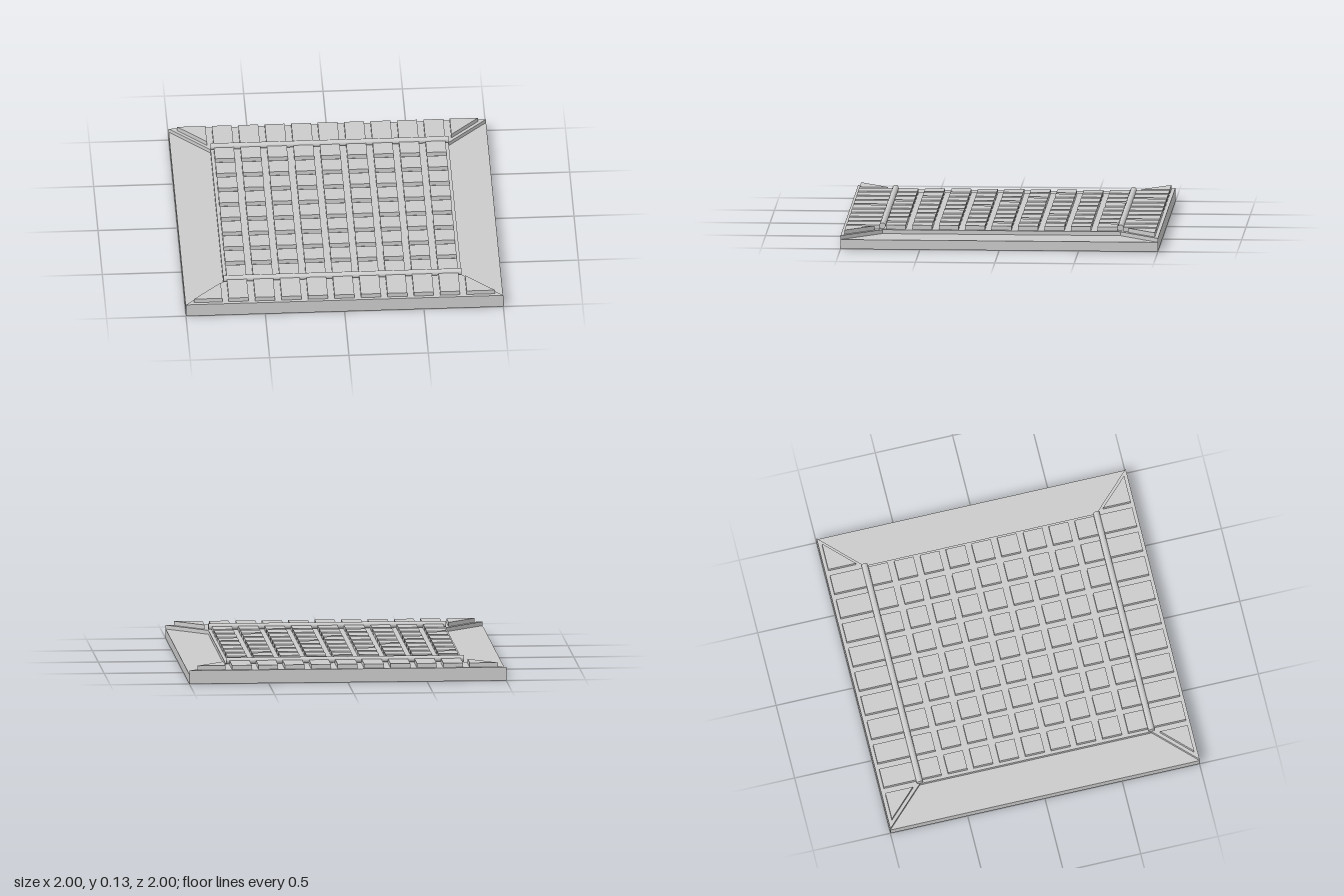
import * as THREE from 'three';

const DECK_Y = 0.085, APRON_Y = 0.06, TILE_Y = 0.112;
const PITCH = 1 / 6, TILE = 0.125, COUNT = 9;
const INNER = 0.75;

export function createModel() {
  const group = new THREE.Group();
  const material = new THREE.MeshStandardMaterial({ color: 0xcccccc, flatShading: true });
  const smooth = new THREE.MeshStandardMaterial({ color: 0xcccccc });

  const add = (name, geometry, mat = material) => {
    const mesh = new THREE.Mesh(geometry, mat);
    mesh.name = name;
    group.add(mesh);
    return mesh;
  };

  // Upright prism over a plan outline given as [x, z] corners
  const prism = (name, corners, y0, y1) => {
    const shape = new THREE.Shape(corners.map(([x, z]) => new THREE.Vector2(x, -z)));
    const geometry = new THREE.ExtrudeGeometry(shape, { depth: y1 - y0, bevelEnabled: false });
    geometry.rotateX(-Math.PI / 2).translate(0, y0, 0);
    return add(name, geometry);
  };

  // Raised tile from plan limits
  const tile = (name, x, z, depth) => {
    const h = TILE_Y - DECK_Y;
    add(name, new THREE.BoxGeometry(TILE, h, depth)).position.set(x, DECK_Y + h / 2, z);
  };

  // Deck: square centre that flares out to the four corners
  prism('deck', [[-1, -1], [1, -1], [INNER, -INNER], [INNER, INNER],
    [1, 1], [-1, 1], [-INNER, INNER], [-INNER, -INNER]], 0, DECK_Y);

  // Lower aprons along the left and right sides
  for (const s of [1, -1]) {
    prism(s > 0 ? 'leftApron' : 'rightApron',
      [[s, -s], [s, s], [s * INNER, s * INNER], [s * INNER, -s * INNER]], 0, APRON_Y);
  }

  const half = (COUNT - 1) / 2;
  for (let i = -half; i <= half; i++) {
    // Square tiles of the central field
    for (let j = -half; j <= half; j++) tile('fieldTile', i * PITCH, j * PITCH, TILE);
    // Long tiles along the front and back edges
    for (const s of [1, -1]) tile('edgeTile', i * PITCH, s * 0.873, 0.21);
  }

  for (const sz of [1, -1]) {
    // Triangular corner tiles
    for (const sx of [1, -1]) {
      prism('cornerTile', [[sx * 0.77, sz * 0.8], [sx * 0.77, sz * 0.978], [sx * 0.948, sz * 0.978]],
        DECK_Y, TILE_Y);
    }
    // Hinge rods between the field and the edge tiles
    const rod = add(sz > 0 ? 'frontRod' : 'backRod',
      new THREE.CylinderGeometry(0.02, 0.02, INNER * 2, 32), smooth);
    rod.rotation.z = Math.PI / 2;
    rod.position.set(0, 0.109, sz * INNER);
  }

  return group;
}
